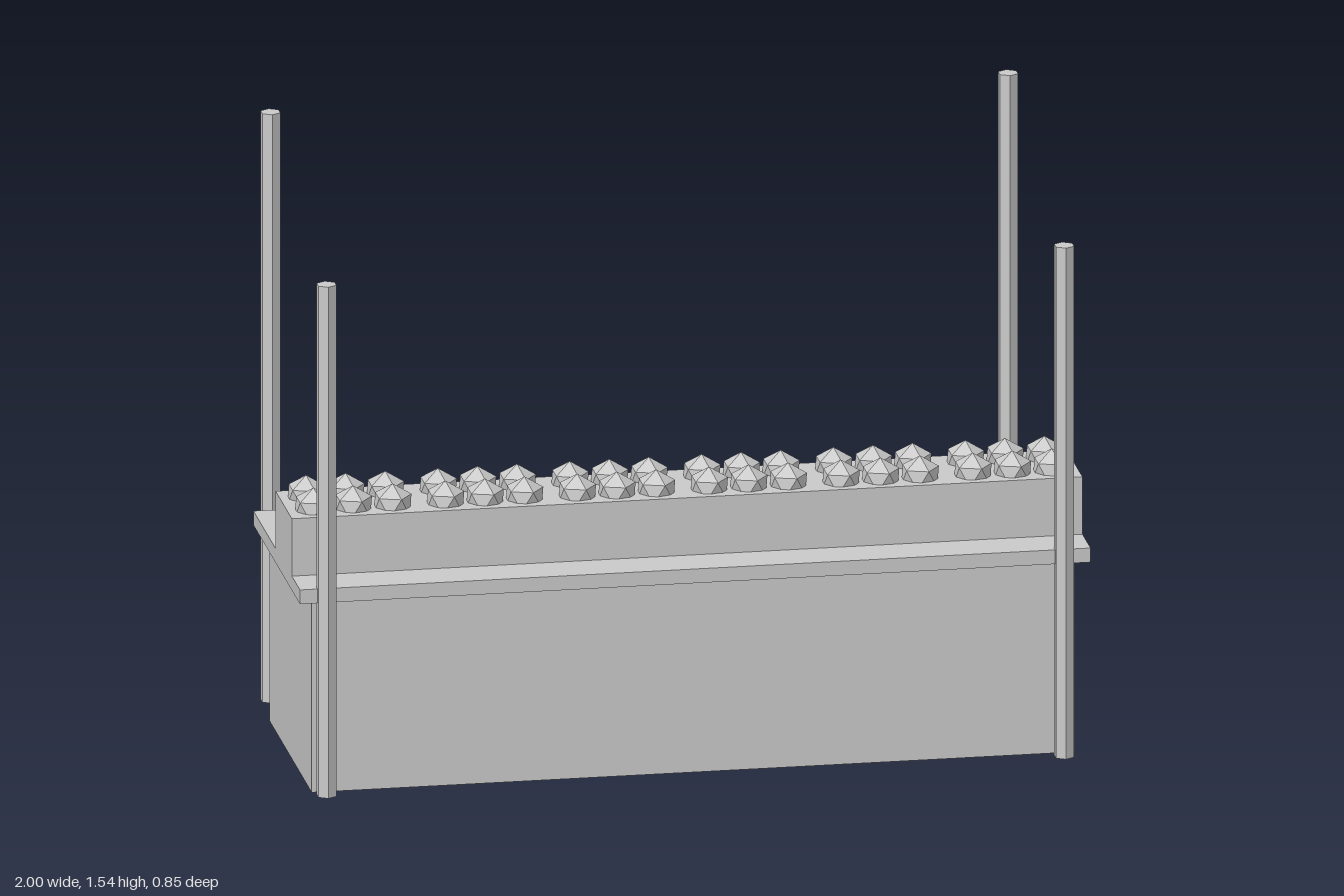
import * as THREE from 'three';

export function createModel() {
  const model = new THREE.Group();
  model.name = 'marketStall';
  const grey = new THREE.MeshStandardMaterial({ color: 0xcccccc, flatShading: true });
  grey.name = 'plain grey';

  const add = (name, geometry, x, y, z, parent = model) => {
    const mesh = new THREE.Mesh(geometry, grey);
    mesh.name = name;
    mesh.position.set(x, y, z);
    parent.add(mesh);
    return mesh;
  };

  // Box given by half width and its y and z ranges
  const block = (name, halfWidth, y0, y1, z0, z1) =>
    add(name, new THREE.BoxGeometry(halfWidth * 2, y1 - y0, z1 - z0), 0, (y0 + y1) / 2, (z0 + z1) / 2);

  // Counter body, overhanging top and raised display shelf
  block('counterBody', 0.965, 0, 0.503, -0.232, 0.37);
  block('counterTop', 1, 0.503, 0.54, -0.266, 0.4);
  block('displayShelf', 1, 0.54, 0.69, 0.051, 0.284);

  // Hexagonal posts, the back pair taller
  for (const [name, height, z] of [['frontPost', 1.335, 0.401], ['backPost', 1.537, -0.401]]) {
    const geometry = new THREE.CylinderGeometry(0.0264, 0.0264, height, 6);
    for (const side of [-1, 1]) {
      add(name + (side > 0 ? 'Left' : 'Right'), geometry, side * 0.933, height / 2, z);
    }
  }

  // Faceted fruit with one corner pointing up: six groups of three in two rows
  const fruit = new THREE.IcosahedronGeometry(0.0535, 0);
  fruit.rotateZ(Math.atan(2 / (1 + Math.sqrt(5))));
  fruit.rotateY(Math.PI);
  for (let g = 0; g < 6; g++) {
    const group = new THREE.Group();
    group.name = 'fruitGroup' + (g + 1);
    group.position.x = (g - 2.5) * 0.3335;
    model.add(group);
    for (const z of [0.113, 0.219]) {
      for (const x of [-0.1, 0, 0.1]) add('fruit', fruit, x, 0.694, z, group);
    }
  }

  return model;
}
